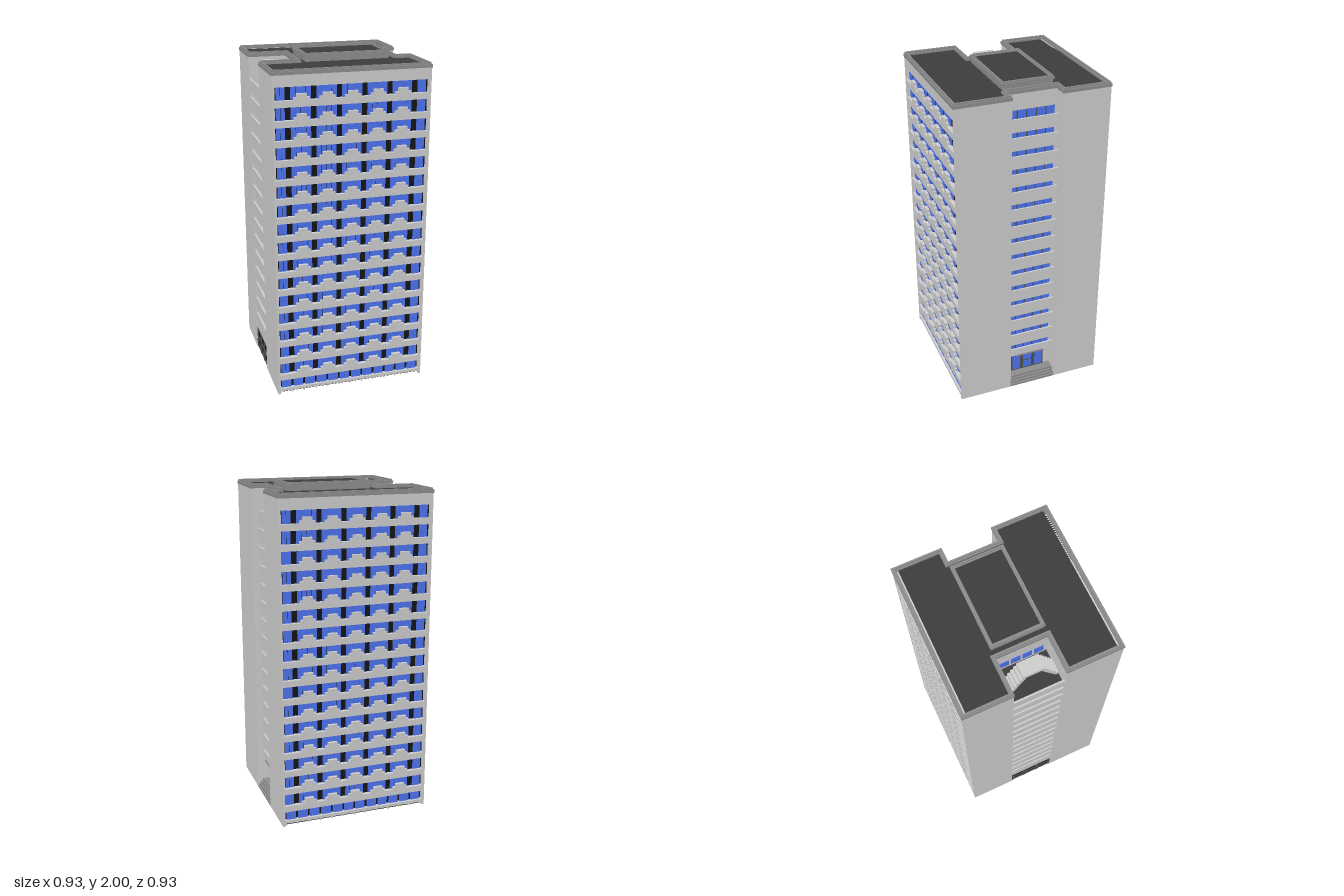
import * as THREE from 'three';
import { mergeGeometries } from 'three/addons/utils/BufferGeometryUtils.js';

const mat = (color) => new THREE.MeshStandardMaterial({ color, flatShading: true });
const GREY = mat(0xcccccc), TRIM = mat(0x8c8c8c), ROOF = mat(0x3c3c3c);
const BLUE = mat(0x4d73ee), BLACK = mat(0x141414), FRAME = mat(0x505050);

const FLOORS = 16, PITCH = 0.1115;
const Z0 = -0.17, Z1 = 0.13, XL = -0.235, XR = 0.37; // side recesses

// Box given by its limits
function box(x0, x1, y0, y1, z0, z1) {
  return new THREE.BoxGeometry(x1 - x0, y1 - y0, z1 - z0)
    .translate((x0 + x1) / 2, (y0 + y1) / 2, (z0 + z1) / 2);
}

function part(group, name, geometries, material) {
  const mesh = new THREE.Mesh(mergeGeometries(geometries), material);
  mesh.name = name;
  group.add(mesh);
}

const toPoints = (list) => list.map(([x, y]) => new THREE.Vector2(x, y));

// H-shaped floor plan, inset by e, with outer half-depth d
function plan(e, d = 0.46) {
  const x = 0.46 - e, z = d - e, l = XL + e, r = XR - e, a = Z0 - e, b = Z1 + e;
  return [[-x, -z], [x, -z], [x, a], [r, a], [r, b], [x, b],
    [x, z], [-x, z], [-x, b], [l, b], [l, a], [-x, a]];
}

const rect = (x0, x1, z0, z1) => [[x0, z0], [x1, z0], [x1, z1], [x0, z1]];

// Horizontal slab from a plan outline, optionally hollow
function slab(outline, y0, y1, hole) {
  const shape = new THREE.Shape(toPoints(outline));
  if (hole) shape.holes.push(new THREE.Path(toPoints(hole)));
  return new THREE.ExtrudeGeometry(shape, { depth: y1 - y0, bevelEnabled: false })
    .rotateX(Math.PI / 2).translate(0, y1, 0);
}

// Two flights climbing from both ends to a middle landing
function stairArch(y, rise, x0, x1) {
  const n = 6, half = 0.148, land = 0.048, run = (half - land) / n, h = rise / n;
  const side = [];
  for (let i = 0; i < n; i++) {
    side.push([-half + i * run, i * h + h], [-half + (i + 1) * run, i * h + h]);
  }
  const mirrored = side.map(([u, v]) => [-u, v]).reverse();
  const outline = [[-half, 0], ...side, ...mirrored, [half, 0], [half - 0.015, 0],
    [land - 0.005, rise - 0.025], [-land + 0.005, rise - 0.025], [-half + 0.015, 0]];
  return new THREE.ExtrudeGeometry(new THREE.Shape(toPoints(outline)), { depth: x1 - x0, bevelEnabled: false })
    .rotateY(Math.PI / 2).translate(x0, y, (Z0 + Z1) / 2);
}

// Window facade facing +z
function facade(name) {
  const g = new THREE.Group();
  g.name = name;
  const grey = [], blue = [], dark = [];
  const bay = 0.147, back = 0.43, face = 0.46;
  // End fins, top band and base bands
  for (const s of [-1, 1]) grey.push(box(s * 0.4525 - 0.0075, s * 0.4525 + 0.0075, 0, 1.95, back, face));
  grey.push(box(-0.445, 0.445, 1.878, 1.95, back, face));
  grey.push(box(-0.445, 0.445, 0.018, 0.036, back, face));
  dark.push(box(-0.445, 0.445, 0.0, 1.878, back, 0.434));
  for (let f = 0; f < FLOORS; f++) {
    const b = 0.13 + f * PITCH, top = b + PITCH - 0.037;
    grey.push(box(-0.445, 0.445, b - 0.037, b, back, face));
    for (let i = -2; i <= 2; i++) {
      const c = i * bay;
      // Stepped balcony upstand
      grey.push(box(c - 0.045, c + 0.045, b, b + 0.016, 0.444, face));
      grey.push(box(c - 0.0275, c + 0.0275, b - 0.034, b + 0.036, 0.444, 0.464));
      for (let k = 0; k < 4; k++) {
        const x = c - 0.058 + k * 0.0293;
        blue.push(box(x, x + 0.0265, b, top, 0.434, 0.441));
      }
    }
    for (const s of [-1, 1]) for (const x of [0.397, 0.423]) {
      blue.push(box(s * x - 0.0115, s * x + 0.0115, b, top, 0.434, 0.441));
    }
  }
  // Ground floor windows and plinth vents
  for (let i = 0; i < 12; i++) {
    const c = (i - 5.5) * 0.0735;
    blue.push(box(c - 0.029, c + 0.029, 0.036, 0.1, 0.434, 0.446));
    grey.push(box(c - 0.0385, c - 0.035, 0, 0.02, back, 0.452));
  }
  part(g, name + 'Bands', grey, GREY);
  part(g, name + 'Windows', blue, BLUE);
  part(g, name + 'Recess', dark, BLACK);
  return g;
}

// Shallow balconies and main entrance in the +x recess
function entranceSide() {
  const g = new THREE.Group();
  g.name = 'entranceSide';
  const grey = [], blue = [], dark = [];
  for (let f = 0; f < FLOORS - 1; f++) {
    const y = 0.252 + f * PITCH;
    grey.push(box(XR, 0.417, y - 0.05, y - 0.042, Z0, Z1));
    grey.push(box(0.406, 0.417, y - (f ? 0.077 : 0.05), y, Z0, Z1));
    dark.push(box(XR, 0.372, y - 0.04, y + 0.034, Z0 + 0.01, Z1 - 0.01));
    for (let k = 0; k < 5; k++) {
      const z = Z0 + 0.012 + k * 0.057;
      blue.push(box(0.372, 0.376, y - 0.04, y + 0.034, z, z + 0.047));
    }
  }
  // Glazed doors
  dark.push(box(XR, 0.376, 0.052, 0.18, -0.127, 0.093));
  for (const [a, b] of [[-0.118, -0.068], [0.034, 0.084]]) blue.push(box(0.374, 0.38, 0.062, 0.17, a, b));
  for (const [a, b] of [[0.062, 0.108], [0.12, 0.17]]) blue.push(box(0.374, 0.38, a, b, -0.045, 0.011));
  part(g, 'sideBalconies', grey, GREY);
  part(g, 'sideWindows', blue, BLUE);
  part(g, 'windowFrames', dark, FRAME);
  // Canopy and steps
  const trim = [box(XR, 0.425, 0.198, 0.206, -0.11, 0.075)];
  for (let i = 0; i < 4; i++) trim.push(box(XR, 0.46 - i * 0.011, i * 0.013, (i + 1) * 0.013, Z0, Z1));
  part(g, 'entranceSteps', trim, TRIM);
  return g;
}

// Open galleries, roof terrace and stairs in the -x recess
function gallerySide() {
  const g = new THREE.Group();
  g.name = 'gallerySide';
  const grey = [], blue = [], dark = [];
  for (let f = 0; f < FLOORS - 1; f++) {
    const y = 0.252 + f * PITCH;
    grey.push(box(-0.457, -0.446, y - 0.077, y, Z0, Z1));
    if (f < FLOORS - 2) grey.push(box(-0.446, XL, y - 0.077, y - 0.067, Z0, Z1));
    for (let k = 0; k < 4; k++) {
      const z = Z0 + 0.02 + k * 0.068;
      blue.push(box(XL - 0.004, XL, y - 0.03, y + 0.03, z, z + 0.055));
    }
  }
  const yTop = 0.252 + (FLOORS - 2) * PITCH - 0.06;
  part(g, 'galleryParapets', grey, GREY);
  part(g, 'galleryWindows', blue, BLUE);
  part(g, 'terraceFloor', [box(-0.446, XL, yTop - 0.017, yTop, Z0, Z1)], ROOF);
  part(g, 'stairs', [stairArch(yTop, 1.94 - yTop, -0.386, -0.3), stairArch(0.012, 0.13, -0.386, -0.3)], GREY);
  // Ground floor surround and gates
  part(g, 'stairwellBase', [slab(rect(-0.455, XL, Z0, Z1), 0, 0.012, rect(-0.42, -0.26, Z0 + 0.02, Z1 - 0.02))], GREY);
  const w = (Z1 - Z0) / 3;
  for (let k = 0; k < 3; k++) {
    const z = Z0 + k * w;
    dark.push(box(-0.457, -0.447, 0, 0.15, z, z + 0.012), box(-0.457, -0.447, 0, 0.15, z + w - 0.012, z + w));
  }
  for (const y of [0.012, 0.07, 0.138]) dark.push(box(-0.457, -0.447, y, y + 0.012, Z0, Z1));
  dark.push(box(-0.466, -0.457, 0.058, 0.064, -0.156, -0.146));
  part(g, 'gateFrames', dark, FRAME);
  part(g, 'gatePanels', [box(-0.451, -0.449, 0.012, 0.145, Z0, Z1)], BLACK);
  part(g, 'gateLintel', [box(-0.457, -0.446, 0.15, 0.18, Z0, Z1)], GREY);
  return g;
}

export function createModel() {
  const model = new THREE.Group();
  model.name = 'apartmentTower';
  part(model, 'towerBody', [slab(plan(0, 0.43), 0, 1.945)], GREY);

  const front = facade('frontFacade');
  const rear = facade('rearFacade');
  rear.rotation.y = Math.PI;
  model.add(front, rear, entranceSide(), gallerySide());

  // Roof decks with stepped parapets
  part(model, 'roofParapet', [
    slab(plan(-0.003), 1.943, 1.962, plan(0.021)),
    slab(plan(0.004), 1.962, 1.972, plan(0.014)),
  ], TRIM);
  part(model, 'roofDeck', [slab(plan(0.015), 1.94, 1.95)], ROOF);
  part(model, 'penthouse', [
    slab(rect(-0.185, 0.32, Z0, Z1), 1.94, 1.985),
    slab(rect(-0.192, 0.326, -0.177, 0.137), 1.978, 1.992, rect(-0.17, 0.305, -0.156, 0.116)),
    slab(rect(-0.187, 0.321, -0.172, 0.132), 1.992, 2.0, rect(-0.178, 0.312, -0.163, 0.123)),
  ], TRIM);
  part(model, 'penthouseRoof', [slab(rect(-0.175, 0.31, -0.16, 0.12), 1.98, 1.987)], ROOF);
  return model;
}
